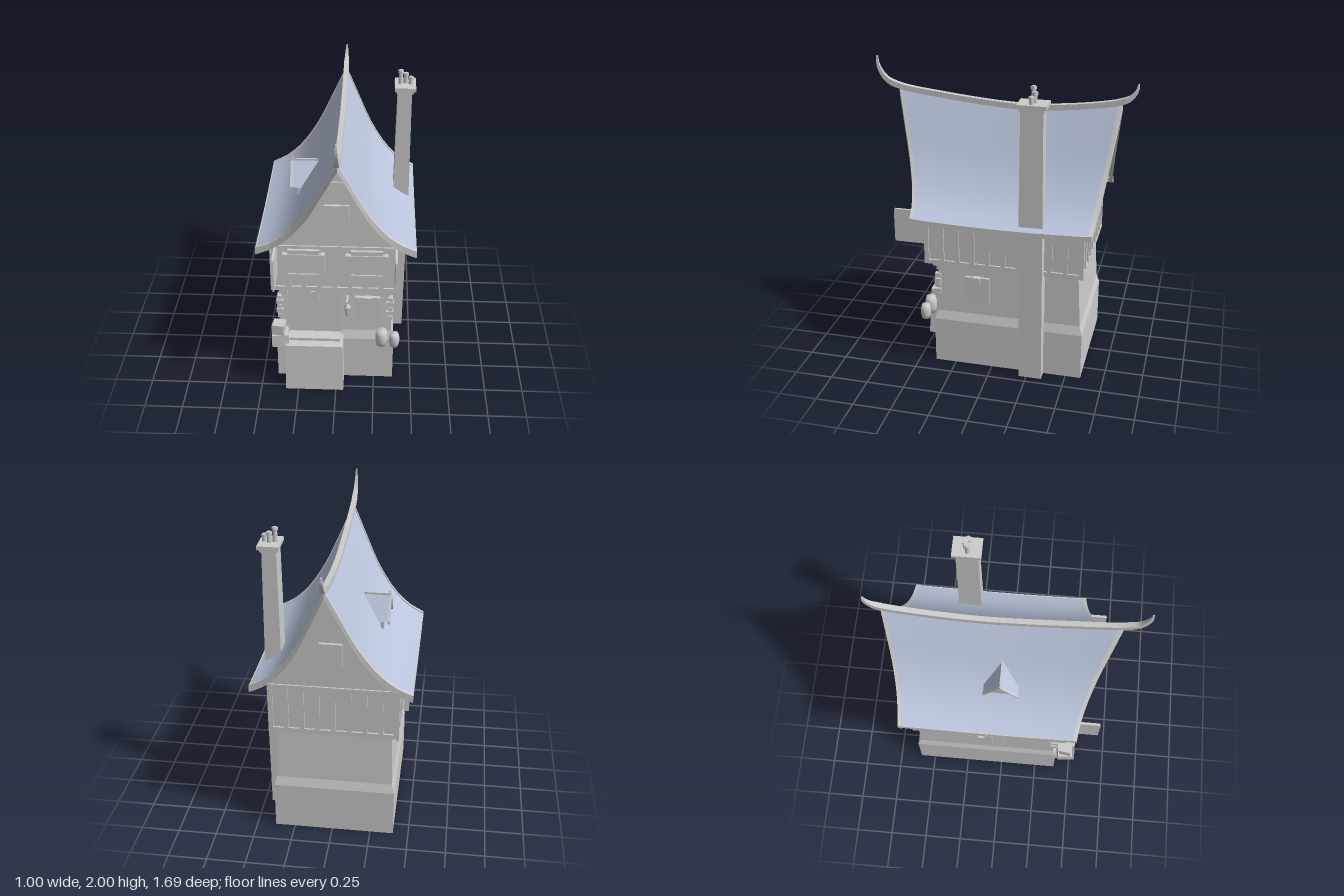
import * as THREE from 'three';

const grey = new THREE.MeshStandardMaterial({ color: 0xcccccc });
grey.name = 'plaster grey';
const blue = new THREE.MeshStandardMaterial({ color: 0xbac4dc, side: THREE.DoubleSide });
blue.name = 'roof slate blue';

// Closed solid through rings of points, always facing outwards
function loft(rings) {
  const tris = [];
  const quad = (a, b, c, d) => tris.push([a, b, c], [a, c, d]);
  for (let i = 0; i < rings.length - 1; i++) {
    const p = rings[i], q = rings[i + 1], n = p.length;
    for (let j = 0; j < n; j++) quad(p[j], p[(j + 1) % n], q[(j + 1) % n], q[j]);
  }
  const first = rings[0], last = rings[rings.length - 1];
  quad(first[3], first[2], first[1], first[0]);
  quad(...last);
  const vec = (p) => new THREE.Vector3(...p);
  const volume = tris.reduce((s, [a, b, c]) => s + vec(a).dot(vec(b).cross(vec(c))), 0);
  if (volume < 0) tris.forEach((t) => t.reverse());
  const geo = new THREE.BufferGeometry();
  geo.setAttribute('position', new THREE.Float32BufferAttribute(tris.flat(2), 3));
  geo.computeVertexNormals();
  return geo;
}

// Horizontal rectangle ring
const rect = (y, x0, x1, z0, z1) => [[x0, y, z0], [x1, y, z0], [x1, y, z1], [x0, y, z1]];

// Roof profile: fraction from ridge to eave, height at the gable end
const profile = new THREE.SplineCurve([[0, 1.79], [0.085, 1.7], [0.21, 1.565], [0.37, 1.4],
  [0.58, 1.245], [0.79, 1.145], [1, 1.09]].map((p) => new THREE.Vector2(...p))).getPoints(14);
const PEAK = 0.018;

// Point on the roof: side s, profile point p, t from -1 (back) to 1 (front)
function roofPoint(s, p, t) {
  const k = (p.y - 1.09) / 0.7;
  const front = 0.49 + 0.2 * k, back = -0.65 - 0.095 * k;
  const sag = (0.015 + 0.045 * k) * (1 - t * t);
  return [PEAK + p.x * (s * 0.5 - PEAK), p.y - sag, (front + back) / 2 + (t * (front - back)) / 2];
}

export function createModel() {
  const model = new THREE.Group();
  const add = (name, geo, mat = grey, parent = model) => {
    const mesh = new THREE.Mesh(geo, mat);
    mesh.name = name;
    parent.add(mesh);
    return mesh;
  };
  // Box given by its limits
  const box = (name, x0, x1, y0, y1, z0, z1, parent = model) => {
    const mesh = add(name, new THREE.BoxGeometry(x1 - x0, y1 - y0, z1 - z0), grey, parent);
    mesh.position.set((x0 + x1) / 2, (y0 + y1) / 2, (z0 + z1) / 2);
    return mesh;
  };

  // Ground floor with battered plinth
  add('groundFloor', loft([rect(0, -0.4, 0.378, -0.6, 0.39), rect(0.32, -0.4, 0.378, -0.6, 0.39),
    rect(0.38, -0.385, 0.36, -0.582, 0.37), rect(0.75, -0.375, 0.352, -0.562, 0.36)]));
  add('entranceBlock', loft([rect(0, -0.335, 0.05, 0.3, 0.54), rect(0.35, -0.33, 0.045, 0.3, 0.52)]));
  box('doorstep', -0.31, 0.025, 0.35, 0.37, 0.33, 0.46);
  box('door', -0.315, 0.03, 0.37, 0.7, 0.355, 0.38);
  box('doorKeystone', -0.165, -0.11, 0.635, 0.7, 0.36, 0.395);

  // Ground floor windows with keystones
  box('frontWindow', 0.12, 0.285, 0.465, 0.655, 0.35, 0.385);
  box('frontKeystone', 0.18, 0.225, 0.612, 0.66, 0.35, 0.4);
  box('leftWindow', 0.34, 0.372, 0.465, 0.655, 0.015, 0.18);
  box('leftKeystone', 0.34, 0.387, 0.612, 0.66, 0.075, 0.12);
  box('rightWindow', -0.397, -0.36, 0.465, 0.655, -0.22, -0.06);
  box('rightKeystone', -0.41, -0.36, 0.612, 0.66, -0.16, -0.115);
  box('rightPanel', -0.39, -0.36, 0.45, 0.7, 0.04, 0.2);

  // Corner stones
  for (let i = 0; i < 5; i++) {
    const w = i % 2 ? 0.03 : 0.018, y = 0.48 + i * 0.036;
    box('cornerStone', -0.388 - (i % 2) * 0.008, -0.38 + w, y, y + 0.03, 0.345, 0.385);
    box('cornerStone', 0.355 - w, 0.366 + (i % 2) * 0.008, y, y + 0.03, 0.345, 0.385);
  }

  // Timbered upper floor: inset walls, beams and studs
  const X0 = -0.42, X1 = 0.4, Z0 = -0.6, Z1 = 0.44;
  box('upperWalls', X0 + 0.012, X1 - 0.012, 0.745, 1.075, Z0 + 0.012, Z1 - 0.012);
  box('lowerBeam', X0, X1, 0.74, 0.77, Z0, Z1);
  box('upperBeam', X0, X1, 1.05, 1.08, Z0, Z1);
  const stud = (x, z) => box('stud', x - 0.015, x + 0.015, 0.77, 1.05, z - 0.015, z + 0.015);
  for (let i = 0; i <= 8; i++) {
    const x = X0 + 0.015 + (i / 8) * (X1 - X0 - 0.03);
    stud(x, Z0 + 0.015);
    stud(x, Z1 - 0.015);
  }
  for (let i = 1; i < 10; i++) {
    const z = Z0 + 0.015 + (i / 10) * (Z1 - Z0 - 0.03);
    stud(X0 + 0.015, z);
    stud(X1 - 0.015, z);
  }

  // Stepped brackets under the front overhang
  for (const x of [-0.335, -0.12, 0.095, 0.315]) {
    for (let i = 0; i < 3; i++) {
      box('bracket', x - 0.016, x + 0.016, 0.665 + i * 0.025, 0.69 + i * 0.025, 0.35, 0.385 + i * 0.022);
    }
  }

  // Upper floor windows, built facing +z
  const upperWindow = (x, y, z, turn, depth) => {
    const g = new THREE.Group();
    g.name = 'upperWindow';
    box('frame', -0.133, 0.133, 0.88, 1.03, -0.02, depth, g);
    box('lintel', -0.1, 0.1, 1.03, 1.06, -0.02, depth * 0.75, g);
    box('sill', -0.1, 0.1, 0.835, 0.88, -0.02, depth * 0.8, g);
    box('flowerBox', -0.1, 0.1, 0.875, 0.892, -0.02, depth + 0.01, g);
    g.position.set(x, y, z);
    g.rotation.y = turn;
    model.add(g);
  };
  upperWindow(-0.205, 0, Z1, 0, 0.025);
  upperWindow(0.193, 0, Z1, 0, 0.025);
  upperWindow(X0, 0, -0.06, -Math.PI / 2, 0.028);
  box('leftUpperWindow', 0.38, 0.43, 0.88, 1.03, -0.19, 0.075);
  box('leftUpperLintel', 0.38, 0.42, 1.03, 1.045, -0.16, 0.055);

  // Hanging boards at the front corners
  for (const x of [-0.378, 0.375]) {
    box('hangingBoard', x - 0.005, x + 0.005, 0.87, 1.09, Z1 - 0.01, 0.642);
    box('boardRod', x - 0.008, x + 0.008, 1.082, 1.098, Z1 - 0.01, 0.635);
  }

  // Gable walls with attic windows
  const edge = [...profile].reverse().map((p) => [-1, p]).concat(profile.slice(1).map((p) => [1, p]));
  const outline = edge.map(([s, p]) => {
    const [x, y] = roofPoint(s, p, 1);
    return new THREE.Vector2(THREE.MathUtils.clamp(x, X0, X1), Math.max(y - 0.045, 1.07));
  });
  outline.push(new THREE.Vector2(X1, 1.06), new THREE.Vector2(X0, 1.06));
  for (const z of [Z0 + 0.01, Z1 - 0.03]) {
    add('gableWall', new THREE.ExtrudeGeometry(new THREE.Shape(outline), { depth: 0.02, bevelEnabled: false }))
      .position.z = z;
  }
  box('atticWindow', -0.075, 0.08, 1.2, 1.38, 0.42, 0.445);
  box('atticKeystone', -0.015, 0.025, 1.345, 1.383, 0.42, 0.455);
  box('loftWindow', -0.055, 0.075, 1.415, 1.54, 0.42, 0.44);
  box('backAtticWindow', -0.07, 0.075, 1.23, 1.385, -0.61, -0.58);

  // Sagging roof slopes and eave boards
  const N = 16;
  for (const s of [-1, 1]) {
    const pos = [], index = [], cols = N + 1;
    profile.forEach((p) => {
      for (let j = 0; j <= N; j++) pos.push(...roofPoint(s, p, (j / N) * 2 - 1));
    });
    for (let i = 0; i < profile.length - 1; i++) {
      for (let j = 0; j < N; j++) {
        const a = i * cols + j, b = a + 1, c = a + cols, d = c + 1;
        index.push(...(s > 0 ? [a, b, d, a, d, c] : [a, d, b, a, c, d]));
      }
    }
    const geo = new THREE.BufferGeometry();
    geo.setAttribute('position', new THREE.Float32BufferAttribute(pos, 3));
    geo.setIndex(index);
    geo.computeVertexNormals();
    add('roofSlope', geo, blue);
    const eave = [];
    for (let j = 0; j <= N; j++) {
      const [x, y, z] = roofPoint(s, profile[profile.length - 1], (j / N) * 2 - 1);
      eave.push([[x, y + 0.003, z], [x - s * 0.02, y + 0.003, z], [x - s * 0.02, y - 0.03, z], [x, y - 0.03, z]]);
    }
    add('eaveBoard', loft(eave));
  }

  // Curved bargeboards along both gable ends
  for (const t of [-1, 1]) {
    add('bargeboard', loft(edge.map(([s, p]) => {
      const [x, y, z] = roofPoint(s, p, t);
      const a = z + t * 0.006, b = z - t * 0.018;
      return [[x, y + 0.006, a], [x, y + 0.006, b], [x, y - 0.042, b], [x, y - 0.042, a]];
    })));
  }

  // Ridge beam with upturned horns
  const ridge = new THREE.CatmullRomCurve3([[0.838, 1.995], [0.832, 1.93], [0.785, 1.85], [0.7, 1.808],
    [0.4, 1.765], [0, 1.73], [-0.2, 1.728], [-0.5, 1.755], [-0.74, 1.8], [-0.8, 1.83], [-0.835, 1.88],
    [-0.84, 1.918]].map(([z, y]) => new THREE.Vector3(PEAK, y, z)));
  const rings = [];
  for (let i = 0; i <= 48; i++) {
    const t = i / 48, c = ridge.getPoint(t), d = ridge.getTangent(t);
    const taper = Math.min(1, 0.25 + 3.2 * Math.min(t, 1 - t));
    const w = 0.017 * taper, h = 0.018 * taper;
    rings.push([[1, 1], [-1, 1], [-1, -1], [1, -1]].map(([a, b]) => [c.x + a * w, c.y - b * h * d.z, c.z + b * h * d.y]));
  }
  add('ridgeBeam', loft(rings));

  // Chimney with cap and pots
  add('chimney', loft([rect(0, 0.34, 0.45, -0.35, -0.2), rect(1.1, 0.355, 0.46, -0.345, -0.195),
    rect(1.85, 0.365, 0.455, -0.338, -0.2)]));
  box('chimneyCollar', 0.355, 0.467, 1.84, 1.86, -0.348, -0.19);
  box('chimneyCap', 0.345, 0.48, 1.858, 1.882, -0.36, -0.18);
  for (const [x, z, top] of [[0.382, -0.265, 1.975], [0.415, -0.28, 1.95], [0.447, -0.265, 1.93]]) {
    add('chimneyPot', new THREE.CylinderGeometry(0.013, 0.016, top - 1.87, 10)).position.set(x, (top + 1.87) / 2, z);
    add('potRim', new THREE.CylinderGeometry(0.019, 0.019, 0.016, 10)).position.set(x, top - 0.012, z);
  }

  // Dormer on the right slope
  const dz = -0.01;
  for (const s of [-1, 1]) {
    const geo = new THREE.BufferGeometry();
    const a = [-0.31, 1.452, dz], b = [-0.13, 1.452, dz], c = [-0.24, 1.305, dz + s * 0.11], d = [-0.31, 1.305, dz + s * 0.11];
    const corners = [a, b, c, a, c, d];
    geo.setAttribute('position', new THREE.Float32BufferAttribute((s < 0 ? corners : corners.reverse()).flat(), 3));
    geo.computeVertexNormals();
    add('dormerRoof', geo, blue);
    const bar = (y, z) => [[-0.312, y, z], [-0.295, y, z], [-0.295, y - 0.018, z], [-0.312, y - 0.018, z]];
    add('dormerTrim', loft([bar(1.456, dz), bar(1.31, dz + s * 0.112)]));
  }
  const tri = new THREE.Shape([[-0.085, 1.24], [0.085, 1.24], [0.085, 1.325], [0, 1.435], [-0.085, 1.325]]
    .map((p) => new THREE.Vector2(...p)));
  const dormerWall = add('dormerWall', new THREE.ExtrudeGeometry(tri, { depth: 0.02, bevelEnabled: false }));
  dormerWall.rotation.y = -Math.PI / 2;
  dormerWall.position.set(-0.25, 0, dz);
  box('dormerRidge', -0.31, -0.135, 1.448, 1.46, dz - 0.006, dz + 0.006);
  add('dormerFinial', new THREE.ConeGeometry(0.01, 0.045, 6)).position.set(-0.3, 1.47, dz);

  // Barrels
  const stave = [[0, 0], [0.031, 0], [0.039, 0.035], [0.04, 0.06], [0.039, 0.085], [0.031, 0.118], [0, 0.118]]
    .map((p) => new THREE.Vector2(...p));
  for (const [x, z, k] of [[0.297, 0.44, 1], [0.382, 0.45, 0.85]]) {
    const barrel = add('barrel', new THREE.LatheGeometry(stave, 16));
    barrel.position.set(x, 0.322, z);
    barrel.scale.set(k, k, k);
  }

  // Stacked crates
  box('lowerCrate', -0.425, -0.315, 0.322, 0.415, 0.4, 0.5).rotation.y = 0.1;
  box('upperCrate', -0.415, -0.335, 0.415, 0.49, 0.415, 0.495).rotation.y = -0.15;

  // Lantern beside the door
  box('lanternArm', 0.064, 0.076, 0.645, 0.657, 0.36, 0.44);
  const lamp = [[0, 0.54], [0.008, 0.545], [0.012, 0.565], [0.02, 0.61], [0.024, 0.615], [0.006, 0.64], [0, 0.65]];
  add('lantern', new THREE.LatheGeometry(lamp.map((p) => new THREE.Vector2(...p)), 6)).position.set(0.07, 0, 0.432);
  return model;
}
